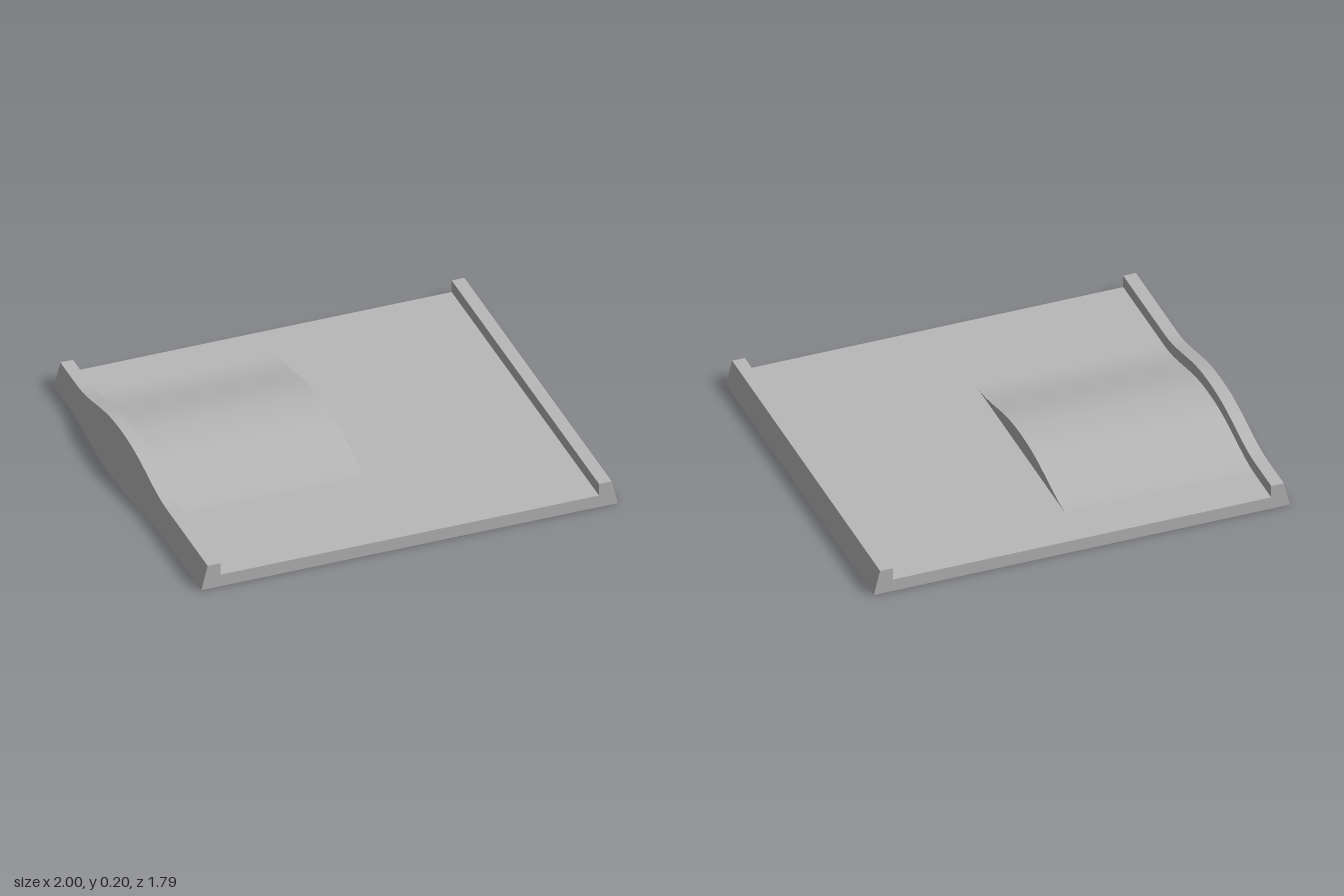
import * as THREE from 'three';

const HALF_Z = 0.895, HUMP_Z = -0.15, HUMP_HALF = 0.55, HUMP_HEIGHT = 0.082;

// Smooth bell: 1 at the hump's centre, 0 beyond its half width
function bell(z) {
  const u = Math.min(1, Math.abs(z - HUMP_Z) / HUMP_HALF);
  return Math.cos((Math.PI / 2) * Math.pow(u, 1.15)) ** 2;
}

// Cross-section in x and y, clockwise seen from the front
function section(z) {
  const b = bell(z), h = b * HUMP_HEIGHT;
  return [
    [-0.97 - 0.03 * b, 0], [-0.94, 0.12 + h], [-0.88, 0.12 + h], [-0.88, 0.06 + h],
    [0.01, 0.06 + h], [0.01, 0.06], [0.91, 0.06], [0.91, 0.12], [0.97, 0.12], [1, 0],
  ];
}

// One side of the section swept along z, smooth lengthwise
function sweepSide(i, stations) {
  const pos = [], index = [];
  stations.forEach((z, k) => {
    const s = section(z), a = s[i], b = s[(i + 1) % s.length];
    pos.push(a[0], a[1], z, b[0], b[1], z);
    if (k > 0) {
      const a0 = 2 * k - 2, b0 = a0 + 1, a1 = 2 * k, b1 = a1 + 1;
      index.push(a0, a1, b1, a0, b1, b0);
    }
  });
  const geo = new THREE.BufferGeometry();
  geo.setAttribute('position', new THREE.Float32BufferAttribute(pos, 3));
  geo.setIndex(index);
  geo.computeVertexNormals();
  return geo;
}

export function createModel() {
  const group = new THREE.Group();
  const grey = new THREE.MeshStandardMaterial({ color: 0xb8b8b8 });
  grey.name = 'plain grey';

  const add = (name, geo) => {
    const mesh = new THREE.Mesh(geo, grey);
    mesh.name = name;
    group.add(mesh);
    return mesh;
  };

  // Stations along z, dense only across the hump
  const stations = [-HALF_Z];
  for (let k = 0; k <= 40; k++) stations.push(HUMP_Z + HUMP_HALF * (k / 20 - 1));
  stations.push(HALF_Z);

  // Long surfaces: curbs, humped deck, flat deck and underside
  [
    'rightCurbOuter', 'rightCurbTop', 'rightCurbInner', 'humpedDeck', 'humpEndWall',
    'flatDeck', 'leftCurbInner', 'leftCurbTop', 'leftCurbOuter', 'underside',
  ].forEach((name, i) => add(name, sweepSide(i, stations)));

  // Flat end faces at front and back
  const outline = section(HALF_Z).filter((p, i) => i !== 4 && i !== 5);
  const shape = new THREE.Shape(outline.map(([x, y]) => new THREE.Vector2(x, y)));
  const front = new THREE.ShapeGeometry(shape);
  add('frontEnd', front).position.z = HALF_Z;
  const back = front.clone();
  back.index.array.reverse();
  back.computeVertexNormals();
  add('backEnd', back).position.z = -HALF_Z;

  return group;
}
